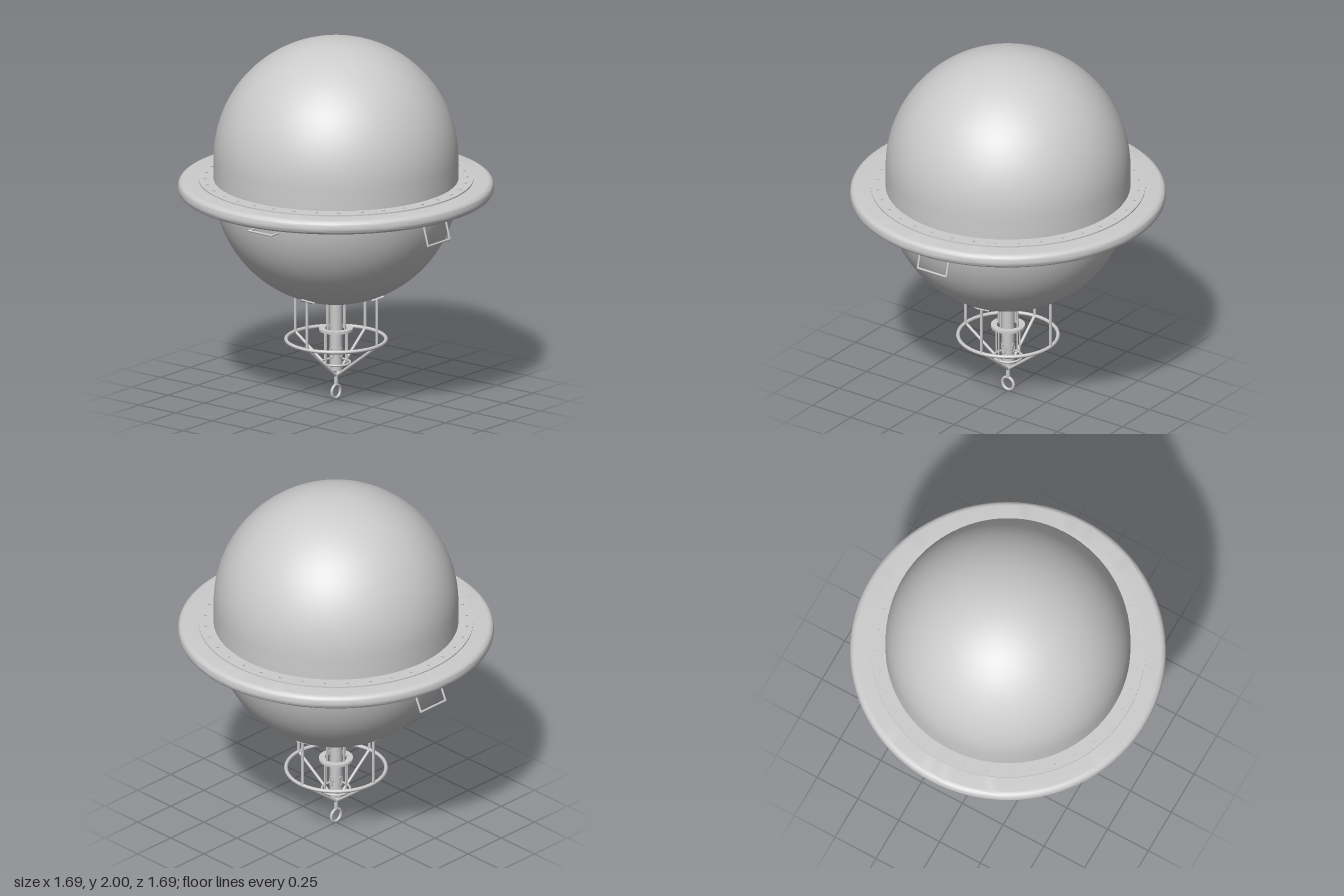
import * as THREE from 'three';
import { toCreasedNormals } from 'three/addons/utils/BufferGeometryUtils.js';

export function createModel() {
  const model = new THREE.Group();
  const mat = new THREE.MeshStandardMaterial({ color: 0xcccccc, side: THREE.DoubleSide });
  const V = (x, y, z) => new THREE.Vector3(x, y, z);

  function add(name, geo, parent = model) {
    const mesh = new THREE.Mesh(geo, mat);
    mesh.name = name;
    parent.add(mesh);
    return mesh;
  }
  // Revolved part from [radius, y] pairs, listed bottom to top on the outside
  function lathe(name, pts, segs, parent) {
    const geo = new THREE.LatheGeometry(pts.map(p => new THREE.Vector2(p[0], p[1])), segs);
    return add(name, toCreasedNormals(geo, 0.6), parent);
  }
  // Round bar between two points
  function rod(name, a, b, r, parent) {
    const mesh = add(name, new THREE.CylinderGeometry(r, r, a.distanceTo(b), 10), parent);
    mesh.position.copy(a).add(b).multiplyScalar(0.5);
    mesh.quaternion.setFromUnitVectors(V(0, 1, 0), b.clone().sub(a).normalize());
    return mesh;
  }
  function hoop(name, radius, tube, y, parent) {
    const mesh = add(name, new THREE.TorusGeometry(radius, tube, 10, 48), parent);
    mesh.rotation.x = Math.PI / 2;
    mesh.position.y = y;
    return mesh;
  }
  // Points on an arc in the profile plane
  function arc(cx, cy, r, a0, a1, n) {
    return Array.from({ length: n + 1 }, (_, i) => {
      const a = a0 + (a1 - a0) * i / n;
      return [Math.max(0, cx + r * Math.cos(a)), cy + r * Math.sin(a)];
    });
  }

  // Hull: two hemispheres, a short straight wall, and a round well underneath
  const R = 0.655, wellR = 0.1;
  lathe('hull', [
    [0, 0.63], [wellR, 0.63],
    ...arc(0, 1.204, R, -Math.acos(wellR / R), 0, 24),
    ...arc(0, 1.345, R, 0, Math.PI / 2, 28),
  ], 80);

  // Collar with a rounded rim
  const c = 0.032;
  lathe('collar', [
    [0.65, 1.145],
    ...arc(0.845 - c, 1.145 + c, c, -Math.PI / 2, 0, 6),
    ...arc(0.845 - c, 1.222 - c, c, 0, Math.PI / 2, 6),
    [0.65, 1.222],
  ], 96);

  // Thin flanges above and below the collar
  for (const [name, y0, y1] of [['upperFlange', 1.218, 1.229], ['lowerFlange', 1.13, 1.148]])
    lathe(name, [[0.65, y0], [0.735, y0], [0.735, y1], [0.65, y1]], 96);

  // Flange bolts
  for (let i = 0; i < 36; i++) {
    const a = i / 36 * Math.PI * 2;
    add('bolt', new THREE.CylinderGeometry(0.008, 0.008, 0.008, 6))
      .position.set(0.7 * Math.cos(a), 1.23, 0.7 * Math.sin(a));
  }

  // U-shaped handles
  function handle(name, pts) {
    for (let i = 0; i < 3; i++) rod(name, pts[i], pts[i + 1], 0.006);
    for (const p of pts.slice(1, 3))
      add(name + 'Corner', new THREE.SphereGeometry(0.006, 8, 6)).position.copy(p);
  }
  for (const [name, x0, x1] of [['leftHandle', 0.665, 0.704], ['rightHandle', -0.67, -0.735]])
    handle(name, [V(x0, 1.135, 0.093), V(x1, 0.993, 0.093), V(x1, 0.993, -0.093), V(x0, 1.135, -0.093)]);
  for (const s of [1, -1])
    handle(s > 0 ? 'frontHandle' : 'backHandle', [
      V(-0.045, 1.08, s * 0.62), V(-0.045, 1.08, s * 0.69),
      V(0.11, 1.08, s * 0.69), V(0.11, 1.08, s * 0.62)]);

  // Outer cage: posts with pads, hoop and struts down to the apex
  const cage = new THREE.Group();
  cage.name = 'cage';
  cage.rotation.y = 0.055;
  model.add(cage);
  hoop('cageHoop', 0.268, 0.01, 0.335, cage);
  for (let i = 0; i < 4; i++) {
    const a = i * Math.PI / 2, x = Math.cos(a), z = Math.sin(a);
    rod('cagePost', V(x * 0.268, 0.335, z * 0.268), V(x * 0.268, 0.63, z * 0.268), 0.008, cage);
    rod('cageStrut', V(x * 0.268, 0.335, z * 0.268), V(0, 0.13, 0), 0.008, cage);
    // Pad lying against the hull
    const pad = add('postPad', new THREE.BoxGeometry(0.07, 0.07, 0.012), cage);
    pad.position.set(x * 0.268, 0.606, z * 0.268);
    pad.lookAt(V(0, 1.204, 0));
    pad.rotateZ(Math.PI / 4);
  }

  // Central instrument tube and its small frame
  const sensor = new THREE.Group();
  sensor.name = 'instrument';
  model.add(sensor);
  rod('instrumentTube', V(0, 0.165, 0), V(0, 0.63, 0), 0.035, sensor);
  lathe('upperFrameRing', [[0.06, 0.384], [0.092, 0.384], [0.092, 0.398], [0.06, 0.398], [0.06, 0.384]], 40, sensor);
  hoop('lowerFrameRing', 0.076, 0.006, 0.207, sensor);
  for (let i = 0; i < 4; i++) {
    const a = i * Math.PI / 2 + 0.055, x = Math.cos(a), z = Math.sin(a);
    rod('upperFrameRod', V(x * 0.064, 0.39, z * 0.064), V(x * 0.064, 0.63, z * 0.064), 0.005, sensor);
    rod('lowerFrameRod', V(x * 0.08, 0.207, z * 0.08), V(x * 0.08, 0.39, z * 0.08), 0.005, sensor);
    // Raised slot frames on the tube
    const slot = add('tubeSlot', new THREE.TorusGeometry(0.013, 0.003, 6, 16), sensor);
    slot.scale.y = 2;
    slot.position.set(x * 0.035, 0.265, z * 0.035);
    slot.rotation.y = Math.PI / 2 - a;
  }

  // Mooring eye
  rod('eyeStem', V(0, 0.085, 0), V(0, 0.145, 0), 0.011);
  const eye = add('mooringEye', new THREE.TorusGeometry(0.036, 0.008, 10, 32));
  eye.rotation.y = Math.PI / 2;
  eye.position.y = 0.045;

  return model;
}
